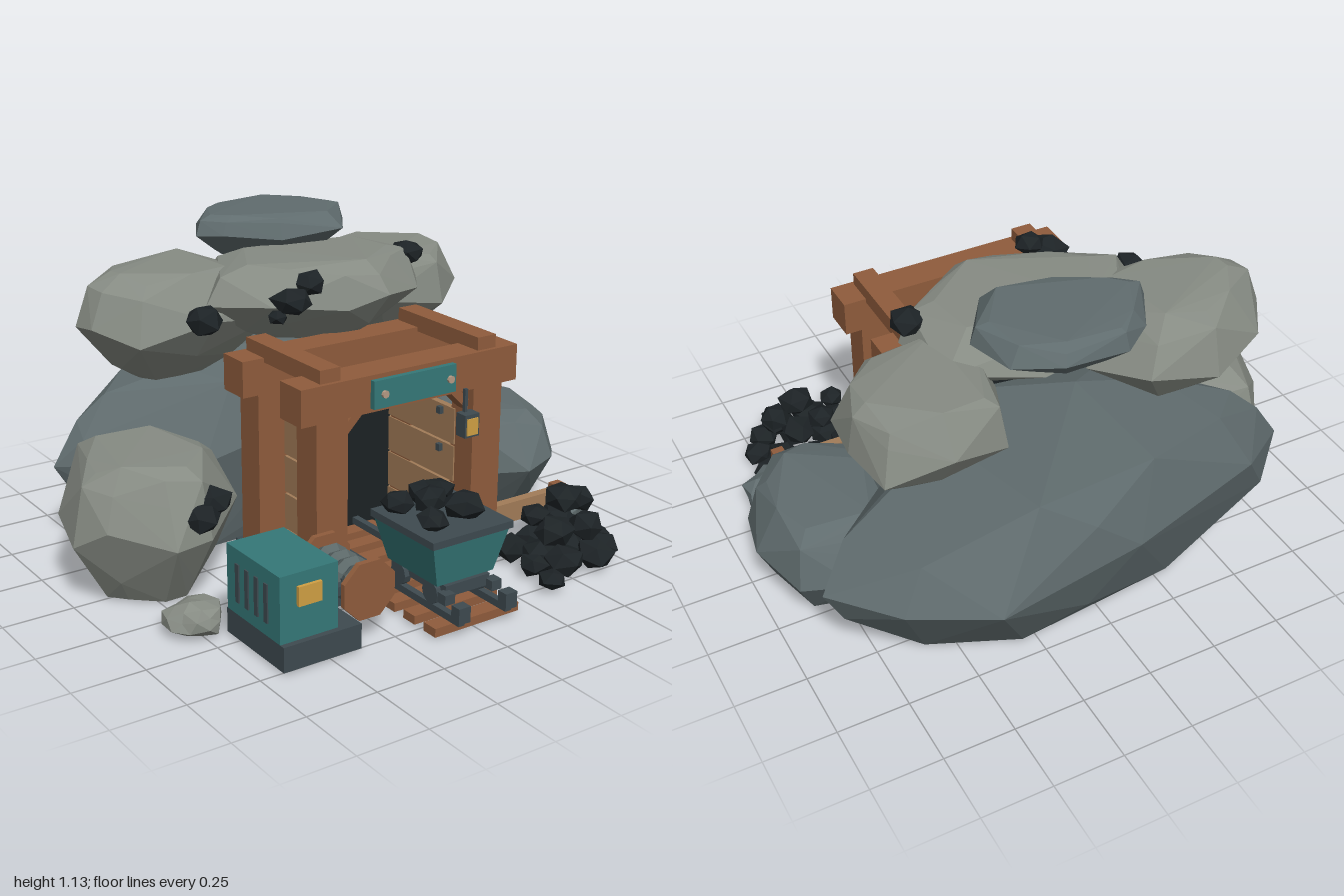
import * as THREE from 'three';
import { ConvexGeometry } from 'three/addons/geometries/ConvexGeometry.js';

const mat = (color) => new THREE.MeshStandardMaterial({ color, flatShading: true });

export function createModel() {
  const root = new THREE.Group();
  const M = {
    darkRock: mat(0x606c6e), lightRock: mat(0x868b83), wood: mat(0x8f5c3c), plank: mat(0xa27c58),
    teal: mat(0x357878), iron: mat(0x3e4a50), coal: mat(0x1d2326), black: mat(0x1c2224),
    yellow: mat(0xd0a044), cable: mat(0x5c6868), bolt: mat(0xb59a84),
  };
  const add = (name, geo, m, x = 0, y = 0, z = 0, parent = root) => {
    const mesh = new THREE.Mesh(geo, M[m]);
    mesh.name = name;
    mesh.position.set(x, y, z);
    parent.add(mesh);
    return mesh;
  };
  // box given by its limits on each axis
  const box = (name, m, x0, x1, y0, y1, z0, z1, parent) =>
    add(name, new THREE.BoxGeometry(x1 - x0, y1 - y0, z1 - z0), m, (x0 + x1) / 2, (y0 + y1) / 2, (z0 + z1) / 2, parent);
  const group = (name) => {
    const g = new THREE.Group();
    g.name = name;
    root.add(g);
    return g;
  };

  // small stone: jittered icosahedron fitted into a box, cut flat at the ground
  const stone = (seed, detail, x0, x1, y0, y1, z0, z1) => {
    const g = new THREE.IcosahedronGeometry(1, detail);
    const p = g.attributes.position, v = new THREE.Vector3();
    g.rotateY(seed * 1.7);
    g.rotateX(seed * 0.9);
    for (let i = 0; i < p.count; i++) {
      v.fromBufferAttribute(p, i);
      const r = Math.sin(Math.round(v.x * 50) * 1.27 + Math.round(v.y * 50) * 3.11 + Math.round(v.z * 50) * 7.43 + seed);
      v.multiplyScalar(1 + 0.13 * r);
      p.setXYZ(i, v.x, v.y, v.z);
    }
    g.computeBoundingBox();
    const { min, max } = g.boundingBox;
    const fit = (t, a, b, lo, hi) => lo + ((t - a) / (b - a)) * (hi - lo);
    for (let i = 0; i < p.count; i++) {
      p.setXYZ(i,
        fit(p.getX(i), min.x, max.x, x0, x1),
        Math.max(0, fit(p.getY(i), min.y, max.y, y0, y1)),
        fit(p.getZ(i), min.z, max.z, z0, z1));
    }
    g.computeVertexNormals();
    return g;
  };

  // boulder: hull of uneven rings that follow a plan outline of [x, z] corners
  const boulder = (name, m, y0, y1, bottom, top, outline) => {
    const n = outline.length, h = y1 - y0, pts = [];
    const cx = outline.reduce((s, p) => s + p[0], 0) / n;
    const cz = outline.reduce((s, p) => s + p[1], 0) / n;
    const rings = [[bottom, 0], [bottom * .48 + .48, .22], [1, .52], [top * .4 + .57, .82], [top, 1]];
    rings.forEach(([scale, t], k) => outline.forEach(([x, z], i) => {
      const wob = Math.sin(i * 2.4 + k * 1.9 + n);
      const s = k === 2 ? 1 : scale * (1 + .05 * wob);
      const lift = k === 0 ? 0 : k === 4 ? -.04 * (1 + wob) : .08 * wob;
      pts.push(new THREE.Vector3(cx + (x - cx) * s, y0 + h * (t + lift), cz + (z - cz) * s));
    }));
    add(name, new ConvexGeometry(pts), m);
  };

  // hillside boulder
  const hill = [
    [.93, .36, -.53], [-.84, .3, -.46], [-.75, .4, -.4], [-.6, .38, -.65], [-.05, .4, -.83], [.48, .37, -.89],
    [.74, .35, -.73], [.3, .67, -.78], [-.15, .64, -.72], [-.4, .62, -.35], [-.1, .68, -.3], [.4, .63, -.3],
    [.2, .65, -.14], [-.3, .6, -.15], [.62, .52, -.5], [.5, .35, -.08], [-.45, .35, -.08], [0, .45, -.05],
    [.6, 0, -.55], [.3, 0, -.68], [-.3, 0, -.62], [-.65, 0, -.42], [-.4, 0, -.15], [.5, 0, -.2], [.75, .1, -.35],
    [-.64, .54, -.44], [-.5, .57, -.58], [.66, .5, -.69], [.12, .55, -.83], [.1, .14, -.76], [-.74, .16, -.54],
    [-.74, .45, -.47], [.8, .44, -.4], [.86, .22, -.52],
  ];
  add('hillBoulder', new ConvexGeometry(hill.map((a) => new THREE.Vector3(...a))), 'darkRock');

  // other boulders
  boulder('rightGroundBoulder', 'lightRock', 0, .475, .56, .64, [[-.82, -.38], [-.97, -.15], [-1, .02], [-.93, .13],
    [-.76, .28], [-.62, .26], [-.42, .08], [-.36, -.1], [-.5, -.35]]);
  boulder('leftGroundBoulder', 'darkRock', 0, .375, .62, .68, [[.6, -.36], [.75, -.37], [.93, -.31], [1, -.1],
    [.95, .13], [.82, .27], [.68, .31], [.52, .17], [.47, .04], [.5, -.2]]);
  boulder('upperRightBoulder', 'lightRock', .62, 1.005, .34, .6, [[-.78, -.35], [-.66, -.53], [-.45, -.62], [-.2, -.6],
    [-.08, -.4], [-.15, -.12], [-.4, -.07], [-.67, -.1], [-.77, -.25]]);
  boulder('upperFrontBoulder', 'lightRock', .75, 1.02, .5, .68, [[-.42, -.1], [-.25, .05], [0, .13], [.15, .16],
    [.35, .05], [.44, -.08], [.4, -.35], [.1, -.45], [-.25, -.42]]);
  boulder('upperLeftBoulder', 'lightRock', .59, .95, .28, .74, [[.3, -.58], [.5, -.62], [.72, -.58], [.76, -.4],
    [.75, -.24], [.59, -.11], [.3, -.09], [.2, -.3]]);
  boulder('topBoulder', 'darkRock', .975, 1.125, .62, .82, [[-.27, -.42], [-.18, -.58], [-.08, -.65], [.15, -.66],
    [.29, -.57], [.34, -.4], [.21, -.21], [-.02, -.25], [-.2, -.35]]);
  add('rightSmallRock', stone(3, 1, -.85, -.66, -.02, .1, .26, .46), 'lightRock');
  add('leftSmallRock', stone(4, 1, .64, .88, -.02, .12, .26, .47), 'darkRock');

  // mine entrance: two timber frames joined by rails
  const CX = 0.015, mine = group('entrance');
  for (const z of [0.07, 0.415]) {
    box('crossBeam', 'wood', -.42, .45, .64, .765, z - .06, z + .06, mine);
    for (const s of [-1, 1]) {
      const x = CX + s * 0.315;
      box('post', 'wood', x - .06, x + .06, .04, .66, z - .057, z + .057, mine);
      box('footing', 'iron', x - .078, x + .078, 0, .085, z - .075, z + .075, mine);
      const brace = box('cornerBrace', 'wood', -.06, .06, -.015, .015, -.03, .03, mine);
      brace.position.set(CX + s * 0.225, .605, z);
      brace.rotation.z = -s * Math.PI / 4;
    }
  }
  for (const s of [-1, 1]) {
    const x = CX + s * 0.315;
    box('topRail', 'wood', x - .038, x + .038, .75, .81, .02, .46, mine);
    // wall boards
    for (let i = 0; i < 4; i++) {
      const w = CX + s * 0.262;
      box('wallBoard', 'plank', w - .012, w + .012, .005 + i * .136, .133 + i * .136, 0, .38, mine);
      box('boardNail', 'iron', w - s * .02 - .008, w - s * .02 + .008, .1 + i * .136, .125 + i * .136, .3, .32, mine);
    }
  }
  for (let i = 0; i < 4; i++) {
    box('ceilingBoard', 'plank', -.255 + i * .136, -.125 + i * .136, .61, .637, -.02, .38, mine);
  }
  box('tunnelDarkness', 'black', -.24, .27, 0, .635, -.035, .005, mine);

  // sign plate and lantern
  box('signPlate', 'teal', -.155, .175, .655, .75, .47, .495, mine);
  for (const x of [-.115, .15]) {
    add('signBolt', new THREE.CylinderGeometry(.013, .013, .014, 8).rotateX(Math.PI / 2), 'bolt', x, .702, .498, mine);
  }
  const lantern = group('lantern');
  box('hook', 'iron', .222, .234, .57, .65, .475, .487, lantern);
  box('body', 'iron', .2, .26, .49, .57, .47, .518, lantern);
  box('glass', 'yellow', .207, .253, .498, .556, .48, .522, lantern);

  // track
  const track = group('track');
  for (let i = 0; i < 8; i++) {
    const z = .06 + i * .107;
    box('sleeper', 'wood', -.16, .18, 0, .03, z - .03, z + .03, track);
  }
  for (const s of [-1, 1]) {
    const x = CX + s * .095;
    box('rail', 'iron', x - .012, x + .012, .03, .055, .02, .87, track);
    box('railStop', 'iron', x - .023, x + .023, .045, .1, .845, .885, track);
  }

  // ore cart
  const cart = group('cart');
  const tub = new THREE.BoxGeometry(.31, .155, .32);
  const tp = tub.attributes.position;
  for (let i = 0; i < tp.count; i++) {
    if (tp.getY(i) < 0) tp.setXYZ(i, tp.getX(i) * .74, tp.getY(i), tp.getZ(i) * .82);
  }
  tub.computeVertexNormals();
  add('tub', tub, 'teal', CX, .208, .635, cart);
  box('rim', 'iron', CX - .162, CX + .162, .28, .305, .468, .803, cart);
  box('chassis', 'iron', CX - .09, CX + .09, .09, .13, .49, .78, cart);
  for (const z of [.55, .72]) {
    for (const s of [-1, 1]) {
      add('wheel', new THREE.CylinderGeometry(.04, .04, .025, 10).rotateZ(Math.PI / 2), 'iron', CX + s * .095, .092, z, cart);
      box('coupling', 'iron', CX + s * .095 - .02, CX + s * .095 + .02, .08, .115, .77, .81, cart);
    }
  }

  // generator cabinet
  const cabinet = group('generator');
  box('base', 'iron', -.675, -.39, 0, .085, .435, .765, cabinet);
  box('cabinet', 'teal', -.675, -.465, .085, .308, .44, .745, cabinet);
  box('label', 'yellow', -.615, -.53, .2, .265, .74, .757, cabinet);
  for (let i = 0; i < 4; i++) box('vent', 'iron', -.68, -.67, .13, .26, .495 + i * .055, .515 + i * .055, cabinet);
  for (const z of [.51, .68]) box('bracket', 'iron', -.47, -.4, .16, .19, z - .015, z + .015, cabinet);

  // cable reel
  const reel = group('cableReel');
  const disc = (r, h) => new THREE.CylinderGeometry(r, r, h, 8).rotateX(Math.PI / 2).rotateZ(Math.PI / 8);
  for (const z of [.485, .73]) add('flange', disc(.103, .02), 'wood', -.342, .175, z, reel);
  add('drum', disc(.06, .24), 'iron', -.342, .175, .605, reel);
  for (let i = 0; i < 4; i++) {
    add('cableCoil', new THREE.TorusGeometry(.046, .03, 6, 10), 'cable', -.342, .175, .522 + i * .057, reel);
  }

  // side barrier
  box('barrierPlank', 'plank', .39, .74, .075, .15, .375, .41);
  box('barrierPost', 'wood', .705, .75, 0, .175, .385, .43);

  // coal lumps: x, y, z, radius
  const coal = group('coal');
  const lump = (x, y, z, r, i) => {
    const w = r * 1.08, h = r * .8;
    add('coalLump', stone(i * 1.3, 0, -w, w, 10 - h, 10 + h, -r, r).translate(0, -10, 0), 'coal', x, y, z, coal).rotation.y = i;
  };
  [
    [-.46, .87, -.04, .06], [-.22, .935, .115, .06], [-.14, .985, .1, .05], [-.27, .89, .11, .03], [.41, .97, -.1, .058],
    [-.65, .315, .245, .06], [-.59, .35, .215, .06],
    [-.08, .33, .52, .05], [.1, .33, .51, .05], [0, .35, .6, .055], [-.07, .33, .7, .05], [.07, .34, .68, .06], [.02, .34, .53, .05],
    [.37, .035, .79, .045], [.4, .035, .67, .045], [.42, .04, .52, .055], [.47, .04, .6, .06], [.49, .045, .71, .06],
    [.55, .04, .49, .055], [.62, .045, .73, .06], [.7, .04, .68, .055], [.74, .04, .6, .05], [.67, .045, .53, .06],
    [.75, .035, .49, .045], [.52, .12, .63, .06], [.64, .12, .65, .06], [.6, .12, .55, .06], [.58, .22, .6, .06],
    [.5, .15, .55, .05], [.67, .19, .58, .055], [.58, .045, .64, .06],
  ].forEach((c, i) => lump(...c, i + 1));

  return root;
}
